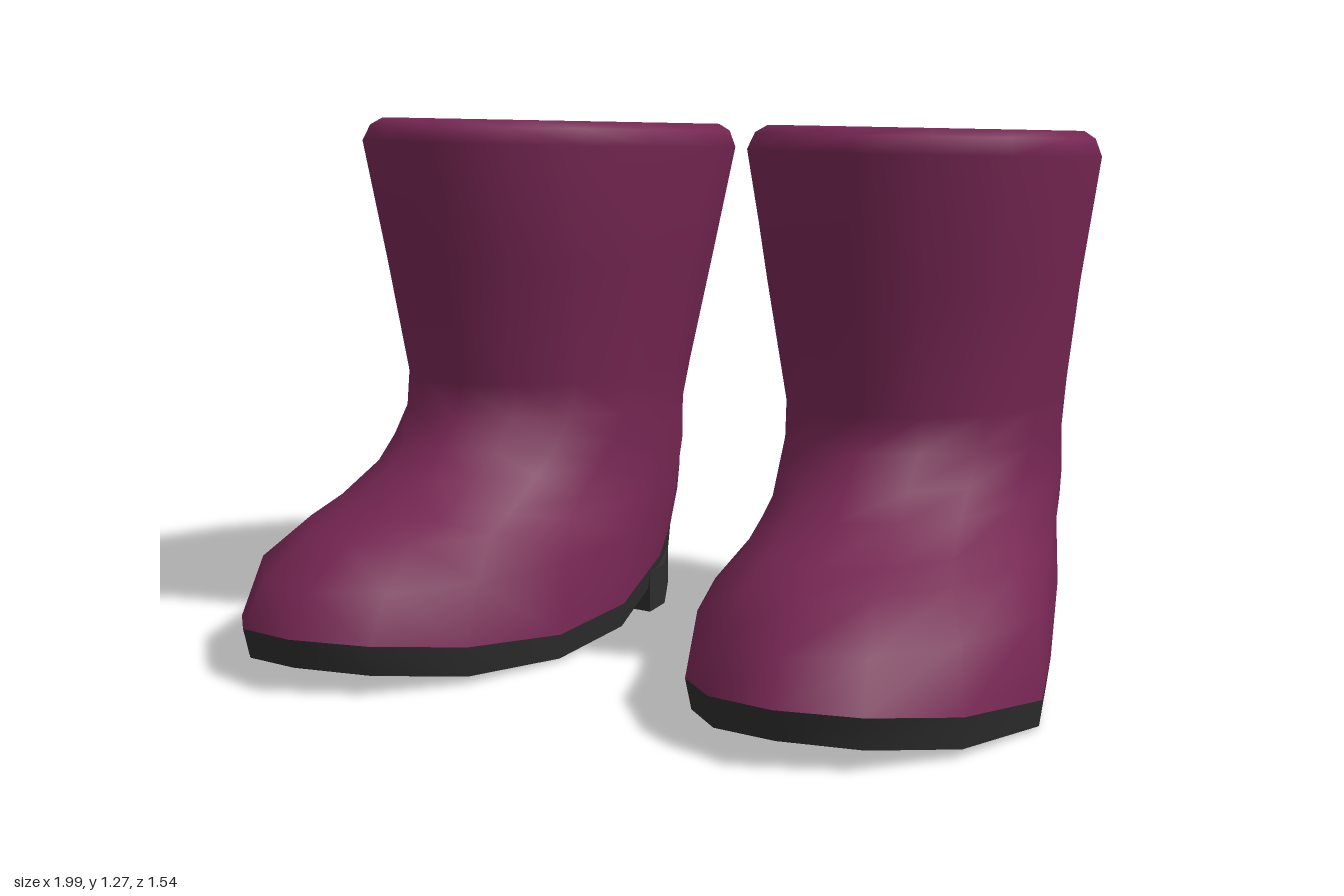
import * as THREE from 'three';
import { toCreasedNormals } from 'three/addons/utils/BufferGeometryUtils.js';

const N = 15; // sides of every cross-section
const { lerp, smoothstep } = THREE.MathUtils;

// Egg-shaped cross-section: heights, z ends, half widths and x centres, each front then back
function ring([yF, yB, zF, zB, wF, wB, cF, cB], side, height) {
  return Array.from({ length: N }, (_, i) => {
    const t = (i / N) * Math.PI * 2, u = Math.cos(t);
    const f = smoothstep(u, -0.6, 0.45);
    const z = lerp(zB, zF, (u + 1) / 2);
    const x = lerp(cB, cF, f) + lerp(wB, wF, f) * Math.sin(t);
    return new THREE.Vector3(x * side, height ? height(z) : lerp(yB, yF, (u + 1) / 2), z);
  });
}

// Surface through a stack of rings; extra faces may be added by a callback
function loft(rings, side, extra) {
  const points = rings.flat(), index = [];
  const tri = (a, b, c) => (side > 0 ? index.push(a, b, c) : index.push(a, c, b));
  for (let k = 0; k < rings.length - 1; k++) {
    for (let i = 0; i < N; i++) {
      const a = k * N + i, b = k * N + ((i + 1) % N);
      tri(a, b, b + N);
      tri(a, b + N, a + N);
    }
  }
  extra(tri, points);
  const geo = new THREE.BufferGeometry().setFromPoints(points);
  geo.setIndex(index);
  geo.computeVertexNormals();
  return geo;
}

// Height along z, read from a short list of [z, y] points
const along = (pts) => (z) => {
  for (let i = 1; i < pts.length; i++) {
    const [z0, y0] = pts[i - 1], [z1, y1] = pts[i];
    if (z <= z1) return lerp(y0, y1, Math.max(0, (z - z0) / (z1 - z0)));
  }
  return pts[pts.length - 1][1];
};
const soleTop = along([[-0.71, 0.165], [-0.5, 0.16], [-0.35, 0.135], [-0.2, 0.095], [0, 0.07], [0.2, 0.065], [0.4, 0.075], [0.6, 0.1], [0.78, 0.13]]);
const soleBottom = along([[-0.71, 0.1], [-0.35, 0.08], [-0.2, 0.045], [0, 0.005], [0.2, 0.005], [0.44, 0.01], [0.62, 0.03], [0.76, 0.06]]);

const TOP_EDGE = [0, 0, 0.78, -0.71, 0.43, 0.315, 0.597, 0.51];
const BOTTOM_EDGE = [0, 0, 0.76, -0.705, 0.42, 0.305, 0.597, 0.51];

// Foot, ankle, shaft, rolled rim and lining, in that order
const UPPER = [
  [0.225, 0.26, 0.72, -0.735, 0.41, 0.335, 0.585, 0.515],
  [0.315, 0.32, 0.585, -0.735, 0.345, 0.335, 0.57, 0.515],
  [0.35, 0.38, 0.48, -0.73, 0.325, 0.335, 0.555, 0.515],
  [0.42, 0.43, 0.33, -0.715, 0.31, 0.33, 0.54, 0.515],
  [0.48, 0.48, 0.25, -0.7, 0.315, 0.325, 0.53, 0.515],
  [0.55, 0.53, 0.18, -0.69, 0.32, 0.32, 0.525, 0.515],
  [0.63, 0.63, 0.155, -0.7, 0.33, 0.33, 0.525, 0.51],
  [0.92, 0.9, 0.21, -0.737, 0.375, 0.375, 0.525, 0.49],
  [1.22, 1.175, 0.262, -0.775, 0.425, 0.425, 0.53, 0.475],
  [1.258, 1.218, 0.24, -0.762, 0.408, 0.408, 0.53, 0.475],
  [1.275, 1.235, 0.205, -0.735, 0.38, 0.38, 0.53, 0.475],
  [1.262, 1.222, 0.172, -0.712, 0.355, 0.355, 0.53, 0.475],
  [1.215, 1.18, 0.155, -0.7, 0.34, 0.34, 0.53, 0.475],
  [0.62, 0.62, 0.1, -0.64, 0.28, 0.28, 0.525, 0.51],
  [0.32, 0.3, 0.25, -0.64, 0.27, 0.27, 0.54, 0.515],
  [0.2, 0.22, 0.22, -0.52, 0.2, 0.18, 0.54, 0.515],
];

function makeBoot(side, wine, rubber) {
  const boot = new THREE.Group();
  const add = (name, geo, mat) => {
    const mesh = new THREE.Mesh(geo, mat);
    mesh.name = name;
    boot.add(mesh);
  };

  // One continuous skin, closed by the footbed inside
  const skin = [ring(TOP_EDGE, side, soleTop), ...UPPER.map((r) => ring(r, side))];
  add('upper', loft(skin, side, (tri, points) => {
    const centre = points.length, start = centre - N;
    points.push(new THREE.Vector3(0.53 * side, 0.18, -0.15));
    for (let i = 0; i < N; i++) tri(start + i, start + ((i + 1) % N), centre);
  }), wine);

  // Curved sole: rim strip and underside
  const sole = [ring(BOTTOM_EDGE, side, soleBottom), ring(TOP_EDGE, side, soleTop)];
  add('sole', toCreasedNormals(loft(sole, side, (tri) => {
    tri(0, N - 1, 1);
    for (let i = 1; i < (N - 1) / 2; i++) {
      tri(i, N - i, N - i - 1);
      if (i + 1 !== N - i - 1) tri(i, N - i - 1, i + 1);
    }
  }), 0.7), rubber);

  // Heel block with a slanted front edge
  const back = sole[0].filter((p) => p.z < -0.4);
  const outline = [[0.785, -0.35], ...back.map((p) => [p.x * side, p.z]), [0.235, -0.36], [0.225, -0.26]];
  const shape = new THREE.Shape(outline.map(([x, z]) => new THREE.Vector2(x * side, -z)));
  const heel = new THREE.ExtrudeGeometry(shape, { depth: 0.105, bevelEnabled: false });
  heel.rotateX(-Math.PI / 2);
  add('heel', toCreasedNormals(heel, 0.7), rubber);
  return boot;
}

export function createModel() {
  const wine = new THREE.MeshStandardMaterial({ color: 0x752652 });
  wine.name = 'wine leather';
  const rubber = new THREE.MeshStandardMaterial({ color: 0x2d2d2d });
  rubber.name = 'dark rubber';

  const model = new THREE.Group();
  model.name = 'pair of boots';
  for (const [side, name] of [[1, 'leftBoot'], [-1, 'rightBoot']]) {
    const boot = makeBoot(side, wine, rubber);
    boot.name = name;
    model.add(boot);
  }
  return model;
}
